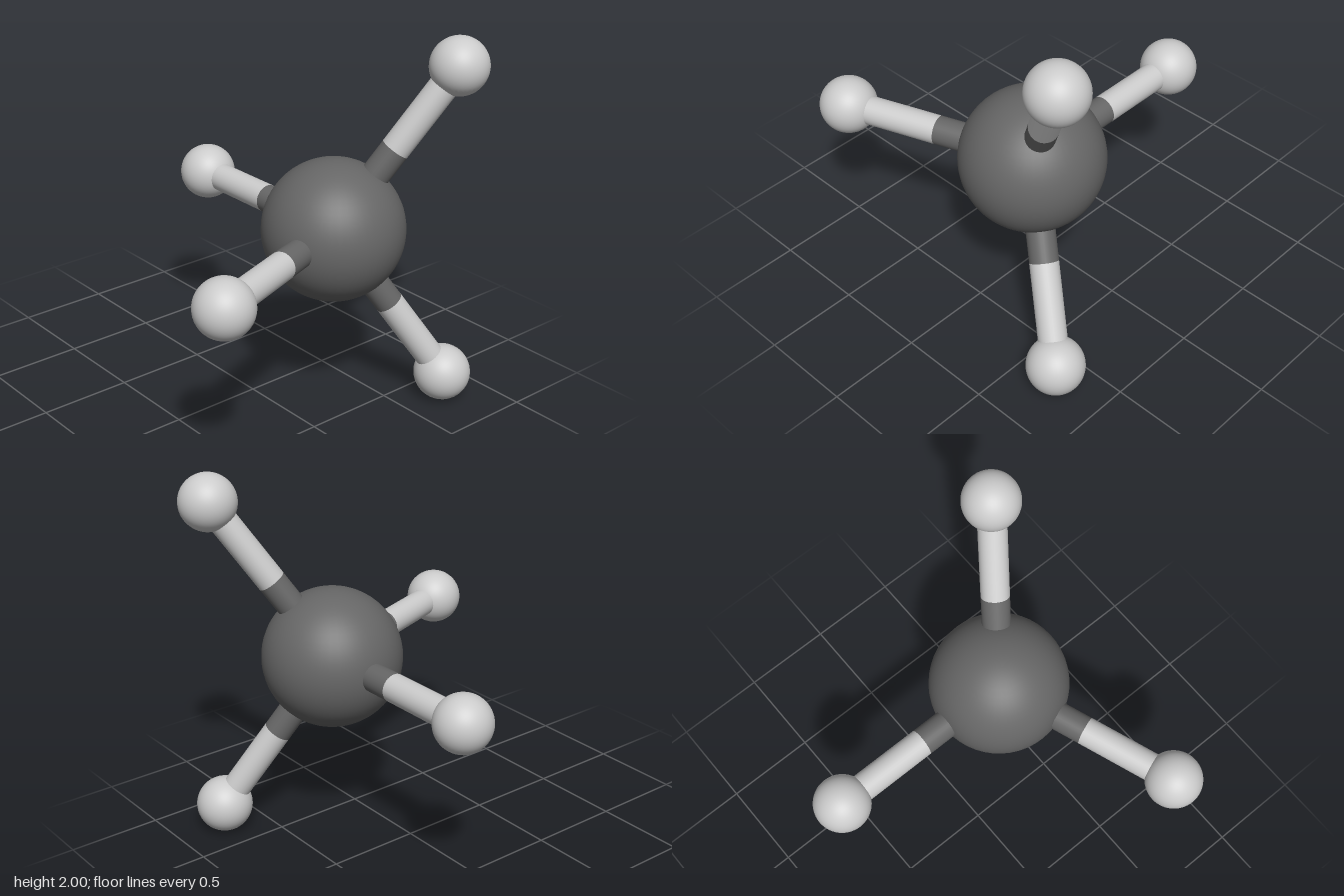
import * as THREE from 'three';

const DARK = new THREE.MeshStandardMaterial({ color: 0x666666 });
const LIGHT = new THREE.MeshStandardMaterial({ color: 0xcccccc });

const CENTRE = new THREE.Vector3(0.345, 1, -0.245);
const BOND_LENGTH = 1.04;
const BOND_RADIUS = 0.075;

function ball(name, radius, position, material) {
  const mesh = new THREE.Mesh(new THREE.SphereGeometry(radius, 48, 32), material);
  mesh.name = name;
  mesh.position.copy(position);
  return mesh;
}

// Cylinder running between two distances along +y of its arm
function rod(name, from, to, material) {
  const mesh = new THREE.Mesh(
    new THREE.CylinderGeometry(BOND_RADIUS, BOND_RADIUS, to - from, 32), material);
  mesh.name = name;
  mesh.position.y = (from + to) / 2;
  return mesh;
}

export function createModel() {
  const model = new THREE.Group();
  model.name = 'tetrahedralMolecule';

  // Large central atom
  model.add(ball('centralAtom', 0.37, CENTRE, DARK));

  // Four tetrahedral arms: one to -x, three spread evenly around the x axis
  const spread = Math.sqrt(8) / 3;
  const directions = [new THREE.Vector3(-1, 0, 0)];
  for (let i = 0; i < 3; i++) {
    const a = (i * 2 * Math.PI) / 3;
    directions.push(new THREE.Vector3(1 / 3, spread * Math.sin(a), spread * Math.cos(a)));
  }

  // Each arm is a two-tone bond with a small atom at its tip
  const up = new THREE.Vector3(0, 1, 0);
  directions.forEach((direction, i) => {
    const arm = new THREE.Group();
    arm.name = `arm${i + 1}`;
    arm.position.copy(CENTRE);
    arm.quaternion.setFromUnitVectors(up, direction);
    arm.add(
      rod('innerBond', 0.3, BOND_LENGTH / 2, DARK),
      rod('outerBond', BOND_LENGTH / 2, BOND_LENGTH - 0.06, LIGHT),
      ball('outerAtom', 0.15, new THREE.Vector3(0, BOND_LENGTH, 0), LIGHT));
    model.add(arm);
  });

  return model;
}
